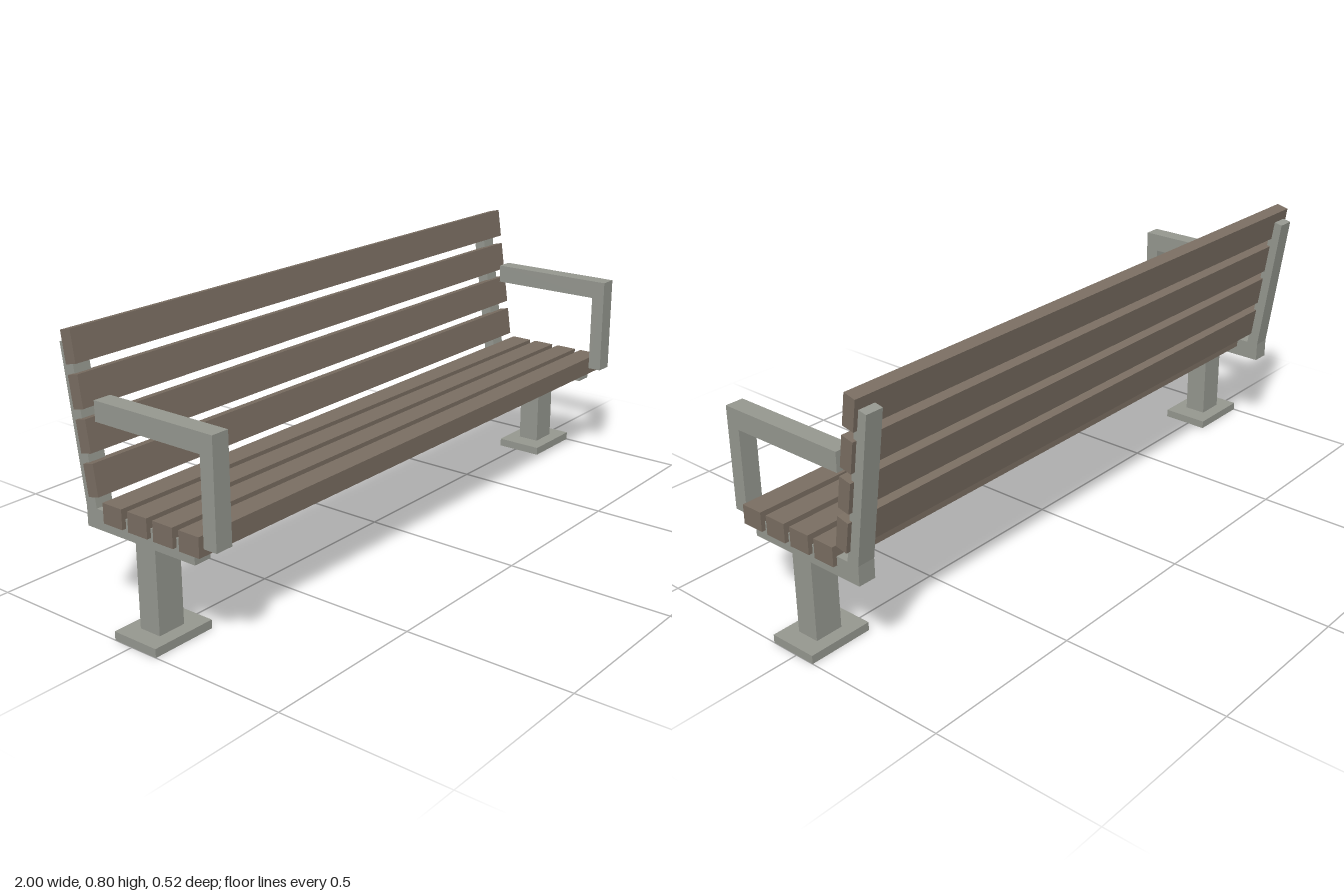
import * as THREE from 'three';

export function createModel() {
  const bench = new THREE.Group();
  bench.name = 'bench';
  const metal = new THREE.MeshStandardMaterial({ color: 0x969890, flatShading: true });
  const wood = new THREE.MeshStandardMaterial({ color: 0x7a6e62, flatShading: true });

  // Box given by its centre x and width, and its extents in y and z
  function box(name, mat, x, w, y0, y1, z0, z1) {
    const mesh = new THREE.Mesh(new THREE.BoxGeometry(w, y1 - y0, z1 - z0), mat);
    mesh.position.set(x, (y0 + y1) / 2, (z0 + z1) / 2);
    mesh.name = name;
    bench.add(mesh);
  }

  // Side profile of [z, y] points, extruded along x about a centre
  function profile(name, mat, x, w, points) {
    const shape = new THREE.Shape(points.map(([z, y]) => new THREE.Vector2(-z, y)));
    const geo = new THREE.ExtrudeGeometry(shape, { depth: w, bevelEnabled: false });
    geo.translate(0, 0, -w / 2);
    geo.rotateY(Math.PI / 2);
    const mesh = new THREE.Mesh(geo, mat);
    mesh.position.x = x;
    mesh.name = name;
    bench.add(mesh);
  }

  // Metal supports at both ends
  for (const [side, s] of [['left', 1], ['right', -1]]) {
    box(side + 'BasePlate', metal, s * 0.9, 0.2, 0, 0.025, -0.062, 0.088);
    box(side + 'Post', metal, s * 0.904, 0.086, 0.025, 0.265, -0.022, 0.048);
    // Seat bearer and leaning back upright in one piece
    profile(side + 'Frame', metal, s * 0.92, 0.054, [
      [0.188, 0.265], [-0.201, 0.265], [-0.201, 0.322], [-0.261, 0.752],
      [-0.224, 0.76], [-0.163, 0.322], [0.188, 0.322],
    ]);
    // Armrest with its front upright
    profile(side + 'Armrest', metal, s * 0.92, 0.054, [
      [0.264, 0.318], [0.221, 0.318], [0.221, 0.563],
      [-0.146, 0.563], [-0.146, 0.62], [0.264, 0.62],
    ]);
  }

  // Four seat slats
  for (let i = 0; i < 4; i++) {
    const z = 0.183 - i * 0.0907;
    box('seatSlat' + (i + 1), wood, 0, 1.92, 0.296, 0.353, z - 0.0345, z + 0.0345);
  }

  // Four leaning back slats, from the top down
  for (let i = 0; i < 4; i++) {
    const dz = i * 0.0172, dy = -i * 0.1152;
    const corners = [[-0.203, 0.798], [-0.24, 0.789], [-0.227, 0.701], [-0.19, 0.709]];
    profile('backSlat' + (i + 1), wood, 0, 1.92, corners.map(([z, y]) => [z + dz, y + dy]));
  }
  return bench;
}
